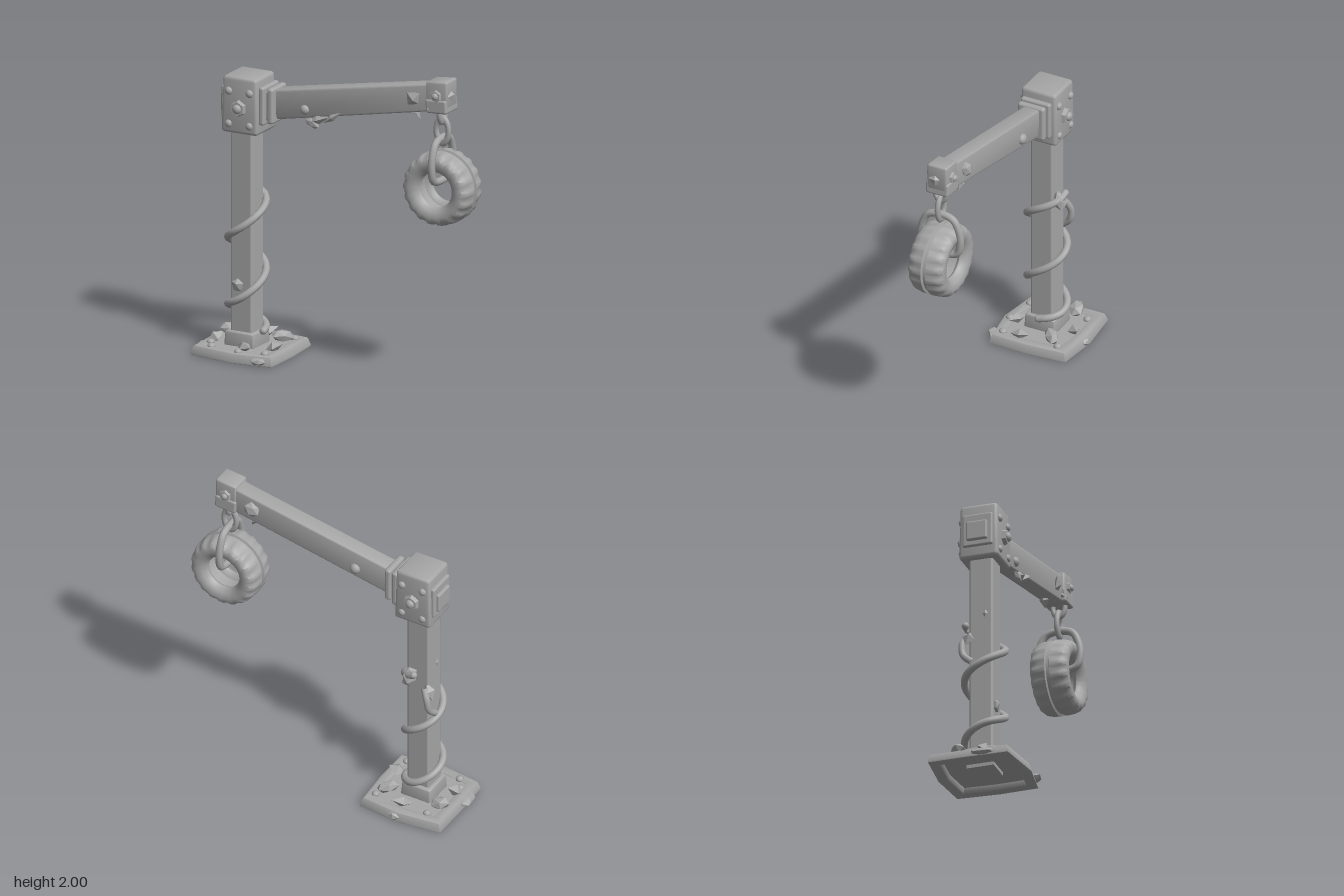
import * as THREE from 'three';
import { toCreasedNormals } from 'three/addons/utils/BufferGeometryUtils.js';
import { RoundedBoxGeometry } from 'three/addons/geometries/RoundedBoxGeometry.js';

const grey = new THREE.MeshStandardMaterial({ color: 0xa6a6a6 });
grey.name = 'plain grey';
const V = (x, y, z) => new THREE.Vector3(x, y, z);

function add(parent, name, geo, pos = [0, 0, 0], rot = [0, 0, 0], scale = [1, 1, 1]) {
  const m = new THREE.Mesh(geo, grey);
  m.name = name;
  m.position.set(...pos);
  m.rotation.set(...rot);
  m.scale.set(...scale);
  parent.add(m);
  return m;
}

function group(parent, name, pos = [0, 0, 0], rot = [0, 0, 0]) {
  const g = new THREE.Group();
  g.name = name;
  g.position.set(...pos);
  g.rotation.set(...rot);
  parent.add(g);
  return g;
}

const box = (w, h, d, r) => new RoundedBoxGeometry(w, h, d, 2, r);

// Move every vertex of a geometry by a rule, then rebuild its normals
function shape(geo, rule, crease = 0.6) {
  const p = geo.attributes.position, v = V(0, 0, 0);
  for (let i = 0; i < p.count; i++) {
    v.fromBufferAttribute(p, i);
    rule(v);
    p.setXYZ(i, v.x, v.y, v.z);
  }
  return toCreasedNormals(geo, crease);
}

// Low dome rivet and large hex bolt, both pointing along +z
const rivetGeo = new THREE.SphereGeometry(1, 12, 8);
const rivet = (parent, pos, r, rot) => add(parent, 'rivet', rivetGeo, pos, rot, [r, r, r * 0.8]);
function bolt(parent, pos, r, rot = [0, 0, 0]) {
  const g = group(parent, 'bolt', pos, rot);
  add(g, 'boltNut', toCreasedNormals(new THREE.CylinderGeometry(r * 0.85, r, r * 0.6, 6), 0.5), [0, 0, 0], [Math.PI / 2, 0, 0]);
  rivet(g, [0, 0, r * 0.3], r * 0.55);
}

// Angular scrap pieces
const shardGeo = new THREE.IcosahedronGeometry(1, 0);
const chipGeo = new THREE.OctahedronGeometry(1, 0);
const shard = (parent, pos, size, rot, geo = shardGeo) => add(parent, 'shard', geo, pos, rot, size);

const tube = (pts, r, closed = false, n = 64) =>
  new THREE.TubeGeometry(new THREE.CatmullRomCurve3(pts, closed), n, r, 10, closed);

function buildBase(root) {
  const g = group(root, 'base', [-0.655, 0, -0.01]);
  const outline = [[-0.27, -0.25], [0, -0.28], [0.26, -0.255], [0.28, 0], [0.275, 0.235], [0.04, 0.275], [-0.26, 0.235], [-0.27, 0]];
  const pts = (k) => outline.map(([x, z]) => new THREE.Vector2(x * k, -z * k));
  const rim = new THREE.Shape(pts(1));
  rim.holes.push(new THREE.Path(pts(0.84).reverse()));
  const rimGeo = new THREE.ExtrudeGeometry(rim, { depth: 0.04, bevelSize: 0.012, bevelThickness: 0.012, bevelSegments: 2 });
  rimGeo.rotateX(-Math.PI / 2).translate(0, 0.012, 0);
  add(g, 'baseRim', shape(rimGeo, (v) => {
    const k = 1 + Math.max(0, 0.055 - v.y) * 1.1;
    v.x *= k;
    v.z *= k;
  }));
  // Deck over the hollow underside
  const deck = new THREE.ExtrudeGeometry(new THREE.Shape(pts(0.92)), { depth: 0.02, bevelEnabled: false });
  add(g, 'baseDeck', deck.rotateX(-Math.PI / 2), [0, 0.038, 0]);
  for (const [x, z] of [[-0.16, 0.21], [0.05, 0.24], [0.22, 0.2], [0.22, -0.19], [-0.16, -0.2], [-0.21, 0.13]])
    rivet(g, [x, 0.065, z], 0.026, [-Math.PI / 2, 0, 0]);
  // Rubble around the post foot
  shard(g, [-0.2, 0.095, -0.1], [0.07, 0.04, 0.055], [0.2, 0.4, -0.3]);
  shard(g, [-0.21, 0.085, 0.07], [0.06, 0.04, 0.05], [0.3, 0.9, 0.3], chipGeo);
  shard(g, [0.17, 0.095, -0.12], [0.08, 0.04, 0.045], [0.4, 0.7, -0.4]);
  shard(g, [0.22, 0.08, 0.08], [0.06, 0.035, 0.06], [0, 0.3, 0.4], chipGeo);
  shard(g, [0.02, 0.085, -0.2], [0.075, 0.035, 0.045], [0.2, 0.8, 0.2], chipGeo);
  shard(g, [0.06, 0.085, 0.18], [0.07, 0.035, 0.04], [0.3, -0.4, 0.2], chipGeo);
  shard(g, [-0.28, 0.03, 0.09], [0.045, 0.025, 0.09], [0, 0.1, 0.2]);
  shard(g, [0.03, 0.03, -0.285], [0.05, 0.03, 0.035], [0.2, 0, 0]);
  shard(g, [0.21, 0.03, 0.27], [0.055, 0.025, 0.04], [-0.2, 0.5, 0]);
  add(g, 'postSocket', shape(box(0.215, 0.1, 0.22, 0.012), (v) => {
    if (v.y > 0) { v.x *= 0.95; v.z *= 0.95; }
  }), [-0.015, 0.1, 0.01]);
  add(g, 'socketUnderside', new THREE.BoxGeometry(0.18, 0.03, 0.18), [-0.015, 0.03, 0.01]);
}

function buildPost(root) {
  const g = group(root, 'post', [-0.67, 0, 0]);
  add(g, 'postBeam', box(0.158, 1.4, 0.158, 0.015), [0, 0.8, 0]);
  // Vine winding up the post: heights at each quarter turn
  const heights = [0.15, 0.2, 0.29, 0.37, 0.5, 0.62, 0.72, 0.83, 0.96, 1.05];
  const turns = new THREE.CatmullRomCurve3(heights.map((y, i) => V(i, y, 0)));
  const path = [];
  for (let i = 0; i <= 36; i++) {
    const p = turns.getPoint(i / 36);
    const t = (p.x - 3) * Math.PI / 2;
    path.push(V(Math.sin(t) * 0.118, p.y, Math.cos(t) * 0.13));
  }
  add(g, 'vine', tube(path, 0.024, false, 160));
  const ends = [path[0], path[36]];
  for (const p of ends) add(g, 'vineEnd', new THREE.SphereGeometry(0.024, 10, 8), p.toArray());
  add(g, 'vineBranch', tube([V(-0.11, 0.74, -0.05), V(-0.1, 0.8, -0.11), V(-0.09, 0.88, -0.12), V(-0.06, 0.95, -0.1)], 0.022, false, 20));
  // Leaves and nicks
  shard(g, [-0.085, 0.92, -0.08], [0.04, 0.065, 0.04], [0.3, 0.2, -0.5], chipGeo);
  shard(g, [0.04, 1.01, -0.11], [0.05, 0.07, 0.04], [0.3, 0.4, 0.2]);
  shard(g, [-0.02, 0.45, 0.075], [0.045, 0.05, 0.03], [0.2, 0.3, 0.5]);
  shard(g, [-0.075, 1.08, 0.03], [0.014, 0.04, 0.025], [0, 0, 0], chipGeo);
}

function buildHead(root) {
  const g = group(root, 'head', [-0.66, 1.645, -0.005]);
  add(g, 'headBlock', shape(box(0.26, 0.37, 0.26, 0.022), (v) => {
    if (v.y > 0.1) { v.x *= 0.93; v.z *= 0.95; }
  }));
  for (const s of [1, -1]) {
    const face = group(g, s > 0 ? 'frontFace' : 'backFace', [0, 0, 0], [0, s > 0 ? 0 : Math.PI, 0]);
    bolt(face, [0, -0.015, 0.137], 0.056);
    for (const x of [-0.075, 0.075])
      for (const y of [-0.125, 0.09]) rivet(face, [x, y, 0.125], 0.026);
  }
  // Outer side flange
  add(g, 'sidePlate', box(0.04, 0.22, 0.2, 0.012), [-0.125, 0, 0]);
  add(g, 'sideCap', box(0.04, 0.13, 0.14, 0.012), [-0.145, -0.01, 0]);
  // Collar between head and arm
  add(g, 'collarInner', box(0.04, 0.25, 0.21, 0.015), [0.145, 0.01, 0]);
  add(g, 'collarNeck', box(0.08, 0.19, 0.15, 0.01), [0.18, 0.01, 0]);
  add(g, 'collarOuter', box(0.045, 0.235, 0.19, 0.018), [0.202, 0.015, 0]);
}

function buildArm(root) {
  const g = group(root, 'arm', [-0.44, 1.665, -0.01], [0, 0, 0.187]);
  add(g, 'armBeam', shape(box(1.22, 0.185, 0.115, 0.014), (v) => { v.y *= 1 - v.x * 0.06; }), [0.6, 0, 0]);
  rivet(g, [0.21, -0.04, 0.057], 0.032);
  rivet(g, [0.23, -0.03, -0.06], 0.036, [0, Math.PI, 0]);
  // Torn scraps on the beam
  shard(g, [0.29, -0.11, 0.055], [0.1, 0.028, 0.025], [0, 0, 0.15], chipGeo);
  shard(g, [0.25, -0.13, 0.055], [0.055, 0.03, 0.02], [0, 0, -0.6]);
  shard(g, [0.4, -0.1, 0.06], [0.08, 0.022, 0.018], [0, 0, 0.4], chipGeo);
  shard(g, [1.02, 0, 0.06], [0.06, 0.06, 0.028], [0.2, 0.2, 0.6], chipGeo);
  shard(g, [1.0, 0.01, -0.065], [0.06, 0.05, 0.035], [0.2, 0.2, 0.3]);
  shard(g, [0.98, -0.1, -0.02], [0.022, 0.055, 0.03], [0, 0, 0.3], chipGeo);

  // End block with cross bolts
  const tip = group(root, 'armTip', [0.733, 1.89, -0.005]);
  add(tip, 'tipBlock', shape(box(0.15, 0.205, 0.14, 0.014), (v) => { v.y += v.x * 0.1; }), [0, 0, 0]);
  add(tip, 'tipBracket', box(0.15, 0.09, 0.16, 0.014), [0, -0.06, 0], [0, 0, 0.05]);
  bolt(tip, [0, 0.01, 0.075], 0.042);
  bolt(tip, [0, 0.01, -0.075], 0.042, [0, Math.PI, 0]);
  shard(tip, [0.07, 0.01, 0.01], [0.03, 0.045, 0.05], [0, 0.2, 0.3], chipGeo);
  shard(tip, [-0.06, -0.07, 0.05], [0.035, 0.035, 0.04], [0.3, 0.2, 0], chipGeo);
}

function buildChain(root) {
  const g = group(root, 'chain', [0.742, 0, 0]);
  // Loop round the tyre, and two plain links above it
  const half = [[0, 1.615], [0.085, 1.595], [0.125, 1.53], [0.14, 1.43], [0.115, 1.355]];
  const loop = [...half, [0, 1.335], ...half.slice(1).reverse().map(([z, y]) => [-z, y])];
  add(g, 'tyreLoop', tube(loop.map(([z, y]) => V(0, y, z)), 0.024, true, 96));
  const linkGeo = new THREE.TorusGeometry(0.044, 0.018, 10, 28);
  add(g, 'middleLink', linkGeo, [0, 1.66, 0], [0, 0, 0], [1, 1.7, 1]);
  add(g, 'upperLink', linkGeo, [0, 1.775, 0], [0, Math.PI / 2, 0], [0.9, 1.3, 1]);
}

function buildTyre(root) {
  // Profile as radius and offset along the axle: tread, side wall, inner well
  const outer = [[0.118, -0.09], [0.14, -0.115], [0.175, -0.128], [0.208, -0.122], [0.228, -0.1], [0.238, -0.065], [0.241, -0.016], [0.226, -0.01]];
  const mirrored = outer.map(([r, z]) => [r, -z]).reverse();
  const well = [[0.113, 0.075], [0.12, 0.06], [0.15, 0.045], [0.15, -0.045], [0.12, -0.06], [0.113, -0.075], outer[0]];
  const profile = [...outer, ...mirrored, ...well].map(([r, z]) => new THREE.Vector2(r, z));
  const geo = shape(new THREE.LatheGeometry(profile, 108), (v) => {
    const r = Math.hypot(v.x, v.z);
    if (r < 0.2 || Math.abs(v.y) < 0.05) return;
    // Shallow lugs along both shoulders
    const a = Math.atan2(v.x, v.z) + (v.y > 0 ? 0 : Math.PI / 18);
    const k = Math.cos(a * 18) > 0.35 ? 0.965 : 1;
    v.x *= k;
    v.z *= k;
  }, 0.7);
  add(root, 'tyre', geo, [0.742, 1.29, 0], [Math.PI / 2, 0, 0]);
}

export function createModel() {
  const root = new THREE.Group();
  root.name = 'tyreCrane';
  for (const build of [buildBase, buildPost, buildHead, buildArm, buildChain, buildTyre]) build(root);
  return root;
}
